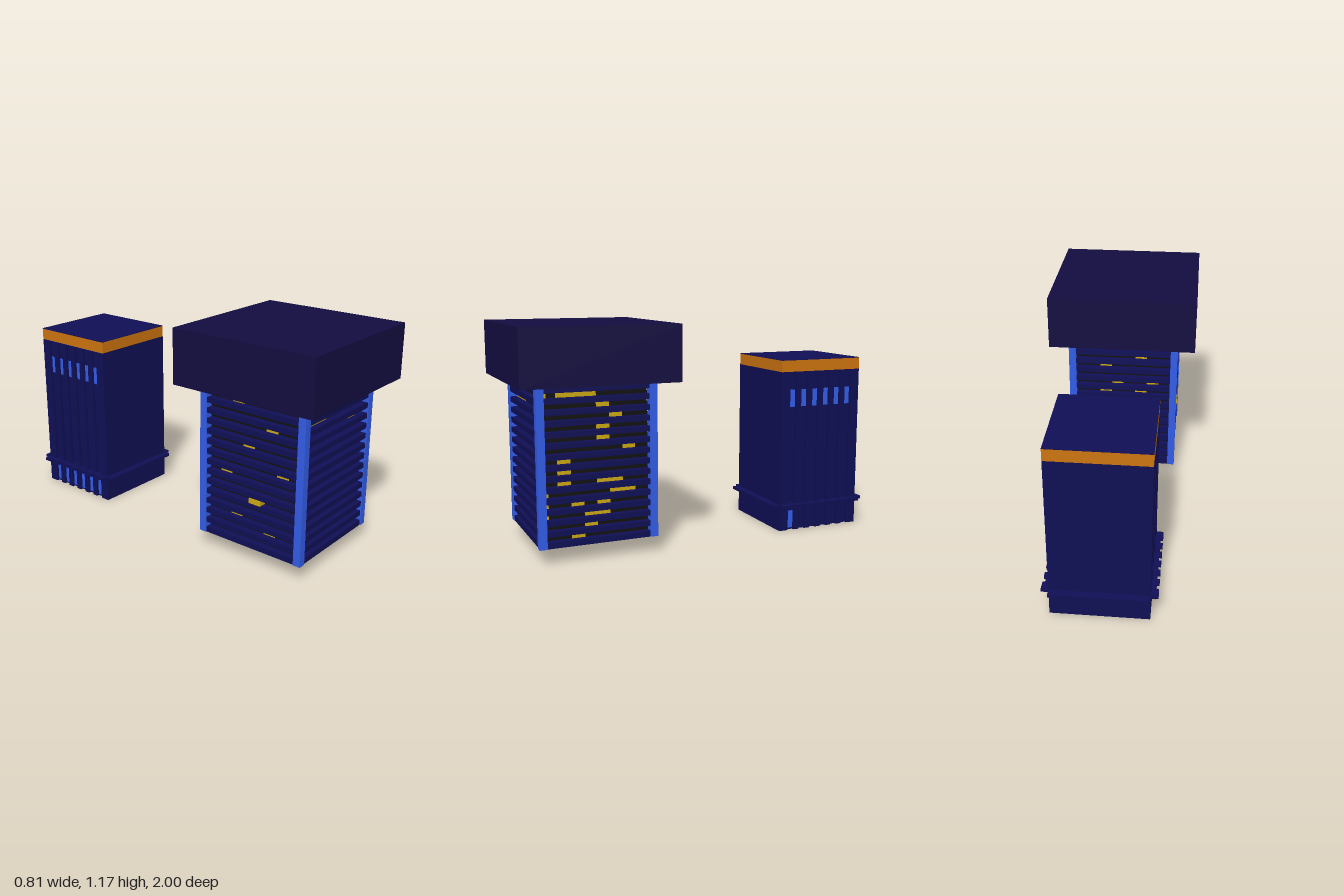
import * as THREE from 'three';

const mat = (color) => new THREE.MeshStandardMaterial({ color, flatShading: true });
const navy = mat(0x0f0f55), dusk = mat(0x130d40), blue = mat(0x335ce6);
const black = mat(0x101010), yellow = mat(0xcca810), orange = mat(0xcc7410);

// Box given by its low and high limits on each axis
function block(parent, name, material, [x0, x1], [y0, y1], [z0, z1]) {
  const mesh = new THREE.Mesh(new THREE.BoxGeometry(x1 - x0, y1 - y0, z1 - z0), material);
  mesh.position.set((x0 + x1) / 2, (y0 + y1) / 2, (z0 + z1) / 2);
  mesh.name = name;
  parent.add(mesh);
  return mesh;
}

// Lit cells per face: one string per storey from the top, digits are cell numbers
const LIT = {
  front: ['17', '012', '6', '', '', '6', '1', '5', '56', '7', '17', '17', '15', '5'],
  right: ['123', '4', '5', '4', '4', '6', '1', '1', '145', '56', '24', '34', '3', '2'],
  back: ['', '5', '2', '', '36', '25', '', '36', '', '3', '25', '56', '', '4'],
  left: ['2', '', '5', '', '3', '', '6', '1', '', '4', '', '2', '5', ''],
};

function officeTower() {
  const g = new THREE.Group();
  g.name = 'officeTower';
  const core = 0.268, edge = 0.305, storeys = 14, pitch = 0.0546, cell = 0.0675;
  const low = 0.083, high = 0.875, h = 0.0135;
  const rowY = (i) => 0.837 - i * pitch;

  block(g, 'core', black, [-core, core], [low, high], [-core, core]);

  // Floor slabs overhanging the recessed window rows
  for (let i = 0; i <= storeys; i++) {
    const top = i === 0 ? high : rowY(i - 1) - h;
    const bottom = i === storeys ? low : rowY(i) + h;
    block(g, 'floorSlab', navy, [-edge, edge], [bottom, top], [-edge, edge]);
  }

  // Corner posts
  for (const sx of [-1, 1]) for (const sz of [-1, 1]) {
    const post = block(g, 'cornerPost', blue, [-0.02, 0.02], [low, high], [-0.02, 0.02]);
    post.position.x = sx * 0.29;
    post.position.z = sz * 0.29;
  }

  // Lit windows, laid out on a front-facing panel and turned to each side
  Object.entries(LIT).forEach(([side, rows], turn) => {
    const face = new THREE.Group();
    face.name = side + 'Windows';
    face.rotation.y = turn * Math.PI / 2;
    rows.forEach((cells, i) => {
      for (const c of cells) {
        const x = -0.27 + Number(c) * cell;
        const out = side === 'left' && i === 9 ? 0.31 : 0.271;
        block(face, 'litWindow', yellow, [x, x + cell], [rowY(i) - h, rowY(i) + h], [0.25, out]);
      }
    });
    g.add(face);
  });

  // Spacers carrying the overhanging roof block
  block(g, 'roofSpacer', black, [0.2, 0.27], [0.87, 0.89], [0.2, 0.26]);
  block(g, 'roofSpacer', black, [-0.2, -0.13], [0.87, 0.89], [0.2, 0.26]);
  block(g, 'roofSpacer', black, [0.2, 0.27], [0.87, 0.89], [-0.05, 0.0]);
  block(g, 'roofSpacer', black, [-0.2, -0.13], [0.87, 0.89], [-0.26, -0.2]);
  block(g, 'roofBlock', dusk, [-0.405, 0.405], [0.885, 1.172], [-0.405, 0.405]);
  return g;
}

function finnedTower() {
  const g = new THREE.Group();
  g.name = 'finnedTower';
  const half = 0.2475, recess = 0.232, top = 0.89, pitch = 0.07;
  const gapZ = (i) => 0.175 - i * pitch, gap = 0.0185;

  block(g, 'core', navy, [-recess, recess], [0, top], [-half, half]);
  block(g, 'crownBand', orange, [-half, half], [top, 0.952], [-half, half]);
  block(g, 'roof', navy, [-half, half], [0.952, 0.955], [-half, half]);

  // Ledge around the lower floor
  const ledgeY = [0.134, 0.15];
  block(g, 'ledge', navy, [-half, half], ledgeY, [-0.2875, 0.2875]);
  block(g, 'sideLedge', navy, [-0.272, 0.272], ledgeY, [-0.25, 0.25]);

  // Vertical fins, each with a step in the ledge
  for (let i = 0; i < 7; i++) {
    const z1 = i === 0 ? half : gapZ(i - 1) - gap;
    const z0 = i === 6 ? -half : gapZ(i) + gap;
    block(g, 'fin', navy, [-half, half], [0, top], [z0, z1]);
    block(g, 'ledgeStep', navy, [-0.285, 0.285], ledgeY, [z0, z1]);
  }

  // Blue windows between the fins
  for (let i = 0; i < 6; i++) {
    const z = [gapZ(i) - gap, gapZ(i) + gap];
    for (const s of [-1, 1]) {
      const x = s > 0 ? [0.22, 0.235] : [-0.235, -0.22];
      block(g, 'upperWindow', blue, x, [0.695, 0.79], z);
      if (s < 0 || i === 0) block(g, 'lowerWindow', blue, x, [0.01, 0.108], z);
    }
  }
  return g;
}

export function createModel() {
  const model = new THREE.Group();
  model.name = 'twoTowers';
  const front = officeTower();
  front.position.z = 0.595;
  const rear = finnedTower();
  rear.position.z = -0.7125;
  model.add(front, rear);
  return model;
}
